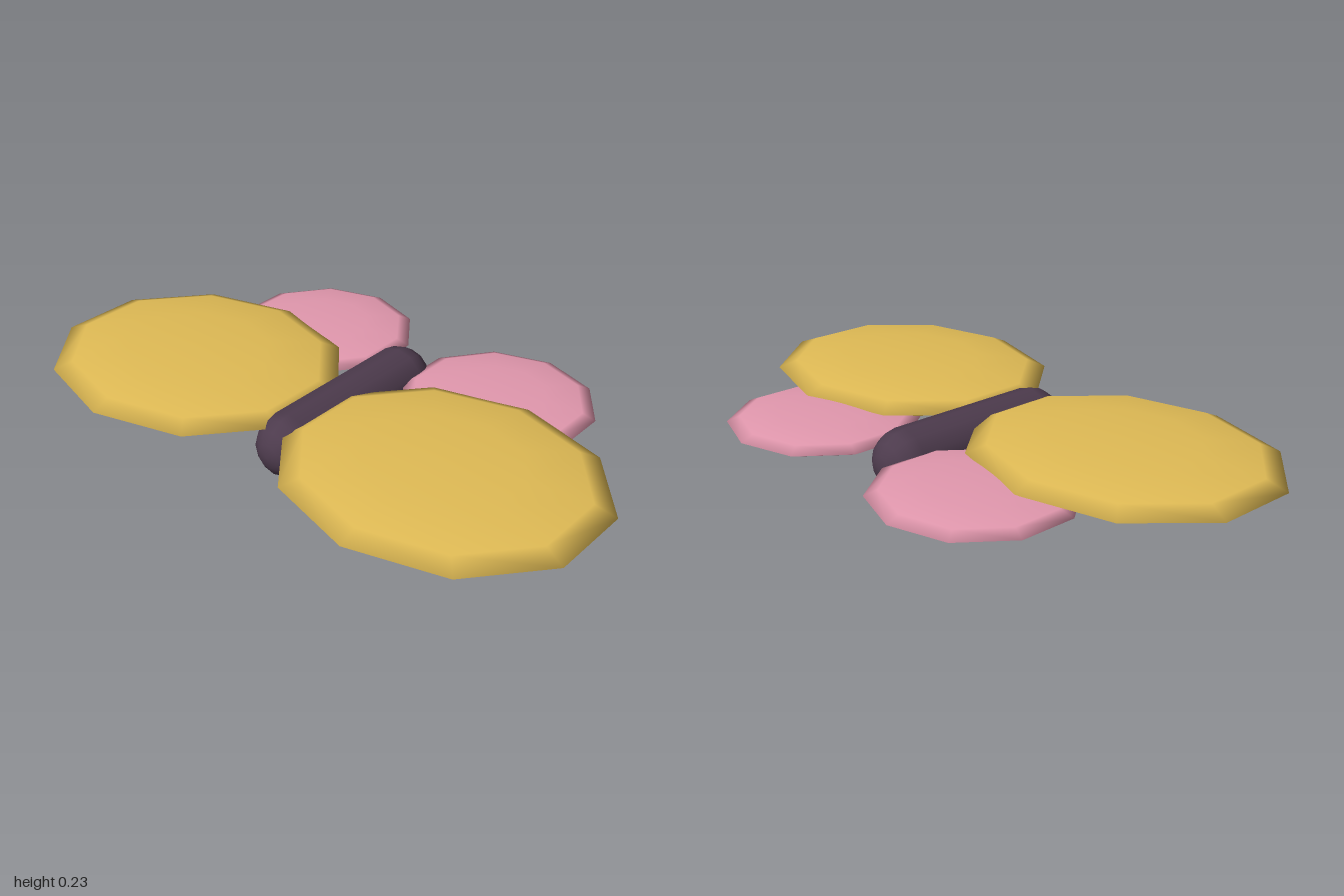
import * as THREE from 'three';

const mat = (name, color) => {
  const m = new THREE.MeshStandardMaterial({ color });
  m.name = name;
  return m;
};

export function createModel() {
  const group = new THREE.Group();
  group.name = 'butterfly';

  const gold = mat('gold', 0xe0bb55);
  const pink = mat('pink', 0xe298ae);
  const plum = mat('plum', 0x4d3b4d);

  // Body: a capsule lying along z
  const bodyGeo = new THREE.CapsuleGeometry(0.106, 0.528, 4, 12);
  bodyGeo.rotateX(Math.PI / 2);
  const body = new THREE.Mesh(bodyGeo, plum);
  body.name = 'body';
  body.position.set(0, 0.108, 0.004);
  group.add(body);

  // Wings: flattened ten-sided ellipsoids with a corner pointing along z
  const wingGeo = new THREE.SphereGeometry(1, 10, 6);
  wingGeo.rotateY(Math.PI / 2);
  const addWing = (name, material, side, [x, y, z], [rx, ry, rz]) => {
    const wing = new THREE.Mesh(wingGeo, material);
    wing.name = name;
    wing.position.set(side * x, y, z);
    wing.scale.set(rx, ry, rz);
    group.add(wing);
  };

  for (const side of [1, -1]) {
    const label = side > 0 ? 'left' : 'right';
    addWing(label + 'ForeWing', gold, side, [0.505, 0.178, 0.169], [0.52, 0.053, 0.446]);
    addWing(label + 'HindWing', pink, side, [0.37, 0.146, -0.305], [0.319, 0.037, 0.313]);
  }

  return group;
}
